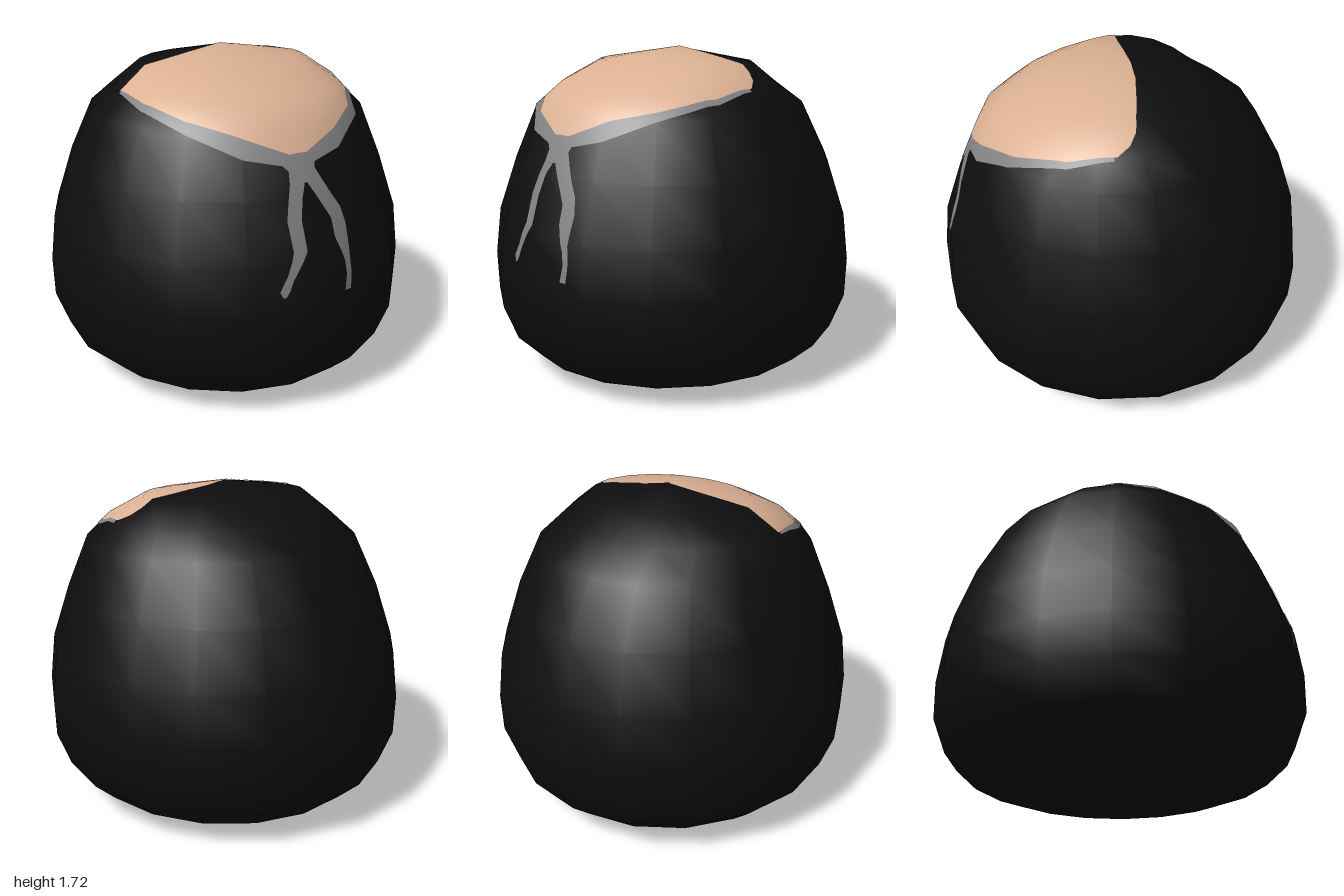
import * as THREE from 'three';
import { mergeVertices } from 'three/addons/utils/BufferGeometryUtils.js';

const black = new THREE.MeshStandardMaterial({ color: 0x0d0d0d, name: 'black' });
const grey = new THREE.MeshStandardMaterial({ color: 0x808080, name: 'grey' });
const tan = new THREE.MeshStandardMaterial({ color: 0xdab092, name: 'tan' });

// Body rings: height, x radius, z radius, z offset
const rings = [
  [0, 0, 0, 0], [0.005, 0.26, 0.27, 0], [0.043, 0.625, 0.65, 0], [0.095, 0.77, 0.8, 0],
  [0.205, 0.89, 0.92, 0], [0.39, 0.96, 0.993, 0], [0.6, 0.966, 1, 0], [0.85, 0.938, 0.968, 0],
  [1.14, 0.843, 0.866, 0], [1.42, 0.726, 0.728, 0.015], [1.54, 0.61, 0.55, 0.03],
  [1.65, 0.457, 0.36, -0.02], [1.72, 0, 0, -0.05],
];

// Eighteen-sided dome, squeezed ring by ring
function bodyGeometry() {
  let geo = new THREE.LatheGeometry(rings.map(([y, , rz]) => new THREE.Vector2(rz, y)), 18);
  const pos = geo.attributes.position;
  for (let i = 0; i < pos.count; i++) {
    const [, rx, rz, cz] = rings[i % rings.length];
    pos.setX(i, rz ? pos.getX(i) * rx / rz : 0);
    pos.setZ(i, pos.getZ(i) + cz);
  }
  geo.deleteAttribute('uv');
  geo.deleteAttribute('normal');
  geo = mergeVertices(geo, 1e-4);
  geo.computeVertexNormals();
  return geo;
}

// Point on a polyline, with t from 0 to 1
function along(points, t) {
  const s = t * (points.length - 1);
  const i = Math.min(Math.floor(s), points.length - 2);
  return points[i].map((v, k) => v + (points[i + 1][k] - v) * (s - i));
}

// Thin painted patch between two edges, laid on the body.
// Points with two numbers are projected from the front, others from the middle.
function patch(name, body, material, edgeA, edgeB, nu, nv) {
  const ray = new THREE.Raycaster();
  const centre = new THREE.Vector3(0, 0.7, 0);
  const position = [], normal = [], index = [];
  for (let i = 0; i <= nu; i++) {
    const a = along(edgeA, i / nu), b = along(edgeB, i / nu);
    for (let j = 0; j <= nv; j++) {
      const p = a.map((v, k) => v + (b[k] - v) * j / nv);
      const dir = p.length === 2 ? new THREE.Vector3(0, 0, 1)
        : new THREE.Vector3(...p).sub(centre).normalize();
      const from = p.length === 2 ? new THREE.Vector3(p[0], p[1], 3)
        : centre.clone().addScaledVector(dir, 3);
      ray.set(from, dir.negate());
      const hit = ray.intersectObject(body)[0];
      const n = (hit.normal || hit.face.normal).clone().normalize();
      position.push(...hit.point.addScaledVector(n, 0.004).toArray());
      normal.push(...n.toArray());
      if (i < nu && j < nv) {
        const q = i * (nv + 1) + j, r = q + nv + 1;
        index.push(q, q + 1, r, q + 1, r + 1, r);
      }
    }
  }
  const geo = new THREE.BufferGeometry();
  geo.setAttribute('position', new THREE.Float32BufferAttribute(position, 3));
  geo.setAttribute('normal', new THREE.Float32BufferAttribute(normal, 3));
  geo.setIndex(index);
  const mesh = new THREE.Mesh(geo, material);
  mesh.name = name;
  return mesh;
}

export function createModel() {
  const group = new THREE.Group();
  group.name = 'paintedDome';
  const body = new THREE.Mesh(bodyGeometry(), black);
  body.name = 'body';
  body.updateMatrixWorld();
  group.add(body);

  // Tan area on top: back edge and front edge, both from -x to +x
  const back = [
    [-0.6, 1.535, 0.05], [-0.45, 1.65, 0.01], [-0.33, 1.67, -0.005], [-0.2, 1.69, -0.025],
    [0, 1.71, -0.05], [0.13, 1.7, -0.068], [0.3, 1.68, -0.063], [0.5, 1.61, -0.045],
    [0.555, 1.575, -0.015], [0.592, 1.535, 0.045],
  ];
  const front = [
    [-0.597, 1.535, 0.06], [-0.555, 1.505, 0.28], [-0.44, 1.455, 0.5], [-0.24, 1.395, 0.69],
    [-0.035, 1.325, 0.775], [0.06, 1.33, 0.775], [0.24, 1.395, 0.7], [0.44, 1.455, 0.53],
    [0.57, 1.505, 0.28], [0.592, 1.535, 0.06],
  ];
  group.add(patch('topPatch', body, tan, back, front, 90, 36));

  // Grey band along the front edge
  const rim = [
    [-0.605, 1.52, 0.06], [-0.58, 1.475, 0.3], [-0.46, 1.405, 0.56], [-0.26, 1.315, 0.735],
    [-0.08, 1.28, 0.79], [0.09, 1.28, 0.79], [0.26, 1.315, 0.735], [0.46, 1.405, 0.56],
    [0.59, 1.475, 0.28], [0.605, 1.52, 0.06],
  ];
  group.add(patch('band', body, grey, front, rim, 90, 6));

  // Knot and the two hanging ends: left edge is +x, right edge is -x
  group.add(patch('bandKnot', body, grey,
    [[0.1, 1.29], [0.09, 1.255], [0.12, 1.2]],
    [[-0.09, 1.29], [-0.055, 1.255], [-0.06, 1.2]], 8, 8));
  group.add(patch('rightBandEnd', body, grey,
    [[0.015, 1.2], [-0.01, 1.14], [-0.03, 1.04], [-0.023, 0.9], [-0.1, 0.77], [-0.12, 0.72], [-0.14, 0.69]],
    [[-0.06, 1.2], [-0.08, 1.13], [-0.1, 1.04], [-0.09, 0.9], [-0.13, 0.79], [-0.17, 0.72], [-0.155, 0.69]], 36, 4));
  group.add(patch('leftBandEnd', body, grey,
    [[0.12, 1.2], [0.16, 1.13], [0.205, 1.06], [0.225, 0.98], [0.225, 0.84], [0.235, 0.75], [0.23, 0.66]],
    [[0.03, 1.2], [0.08, 1.12], [0.14, 1.02], [0.148, 0.93], [0.195, 0.81], [0.205, 0.74], [0.193, 0.66]], 36, 4));

  return group;
}
